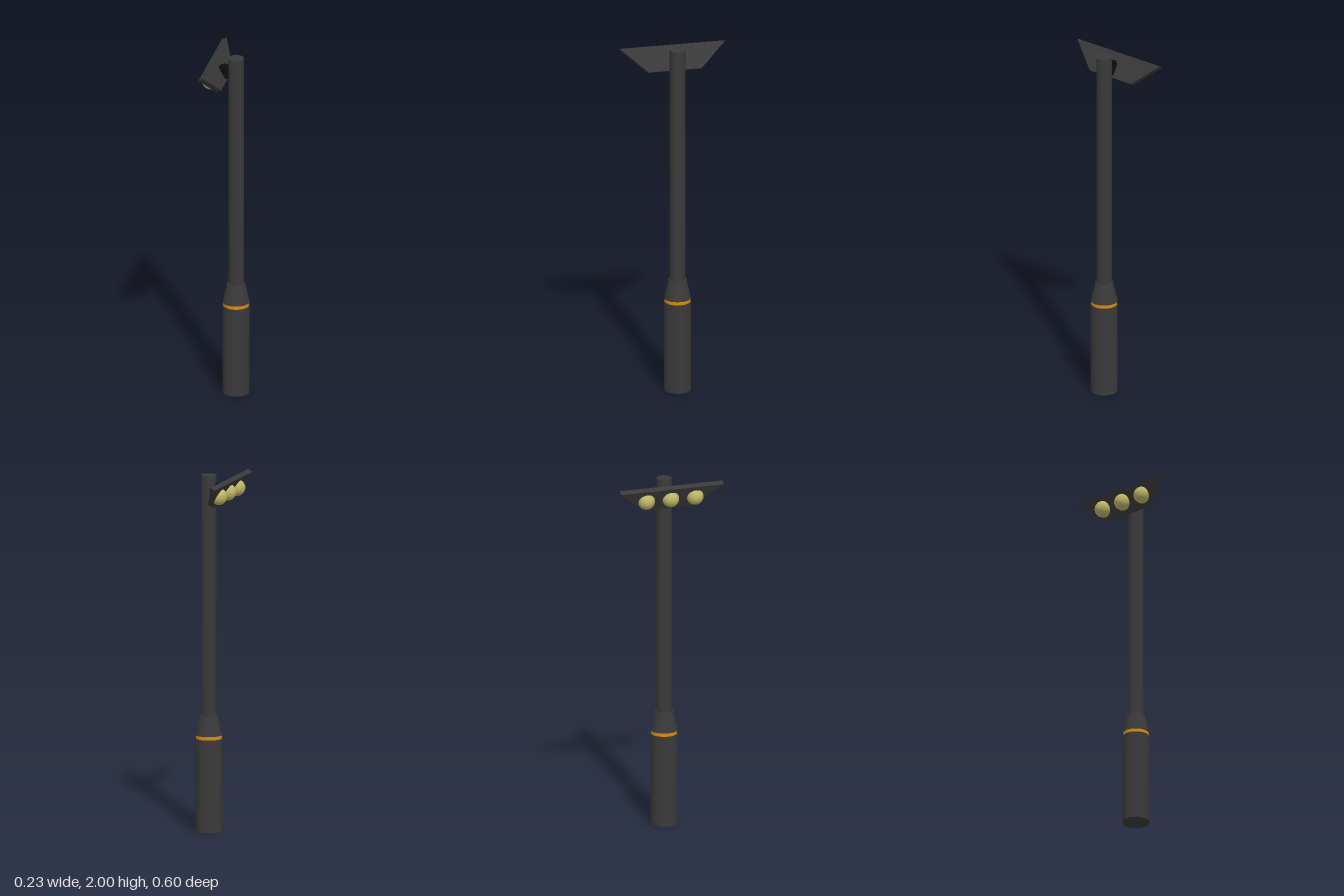
import * as THREE from 'three';

const paint = (color) => new THREE.MeshStandardMaterial({ color });

export function createModel() {
  const model = new THREE.Group();
  const dark = paint(0x3a3a3a);
  const black = paint(0x0c0c0c);
  const orange = paint(0xe08a10);
  const glow = paint(0xbdb566);

  const add = (parent, name, geometry, material) => {
    const mesh = new THREE.Mesh(geometry, material);
    mesh.name = name;
    parent.add(mesh);
    return mesh;
  };

  // Upright: stacked round sections sharing one axis
  const upright = new THREE.Group();
  upright.name = 'upright';
  upright.position.x = 0.04;
  model.add(upright);
  const section = (name, bottomR, topR, y0, y1, material) => {
    const g = new THREE.CylinderGeometry(topR, bottomR, y1 - y0, 24);
    add(upright, name, g, material).position.y = (y0 + y1) / 2;
  };
  section('base', 0.075, 0.075, 0, 0.52, dark);
  section('accentRing', 0.072, 0.072, 0.52, 0.54, orange);
  section('taperedCollar', 0.075, 0.05, 0.54, 0.65, dark);
  section('pole', 0.043, 0.043, 0.65, 2, dark);

  // Mount: thick disc with a rounded rim between pole and panel
  const r = 0.017, flat = 0.028;
  const profile = [new THREE.Vector2(0, -r)];
  for (let i = 0; i <= 10; i++) {
    const a = -Math.PI / 2 + (Math.PI * i) / 10;
    profile.push(new THREE.Vector2(flat + r * Math.cos(a), r * Math.sin(a)));
  }
  profile.push(new THREE.Vector2(0, r));
  const mount = add(model, 'panelMount', new THREE.LatheGeometry(profile, 28), black);
  mount.rotation.x = Math.PI / 2;
  mount.position.set(-0.022, 1.915, 0);

  // Lamp head: local y runs up the slope, local z faces the pole
  const head = new THREE.Group();
  head.name = 'lampHead';
  const tilt = Math.atan2(0.069, 0.126);
  const up = new THREE.Vector3(-Math.sin(tilt), Math.cos(tilt), 0);
  const normal = new THREE.Vector3(Math.cos(tilt), Math.sin(tilt), 0);
  const side = new THREE.Vector3().crossVectors(up, normal);
  head.quaternion.setFromRotationMatrix(new THREE.Matrix4().makeBasis(side, up, normal));
  head.position.set(-0.0725, 1.911, 0);
  model.add(head);

  // Trapezoid panel
  const h = 0.072;
  const outline = new THREE.Shape([
    new THREE.Vector2(-0.15, -h), new THREE.Vector2(0.15, -h),
    new THREE.Vector2(0.3, h), new THREE.Vector2(-0.3, h),
  ]);
  add(head, 'panel', new THREE.ExtrudeGeometry(outline, { depth: 0.03, bevelEnabled: false }), dark);

  // Three domed lamps on the outer face
  const dome = new THREE.SphereGeometry(0.047, 24, 10, 0, Math.PI * 2, 0, Math.PI / 2);
  dome.rotateX(-Math.PI / 2);
  [-0.142, 0, 0.142].forEach((x, i) => {
    add(head, `lamp${i + 1}`, dome, glow).position.x = x;
  });

  return model;
}
